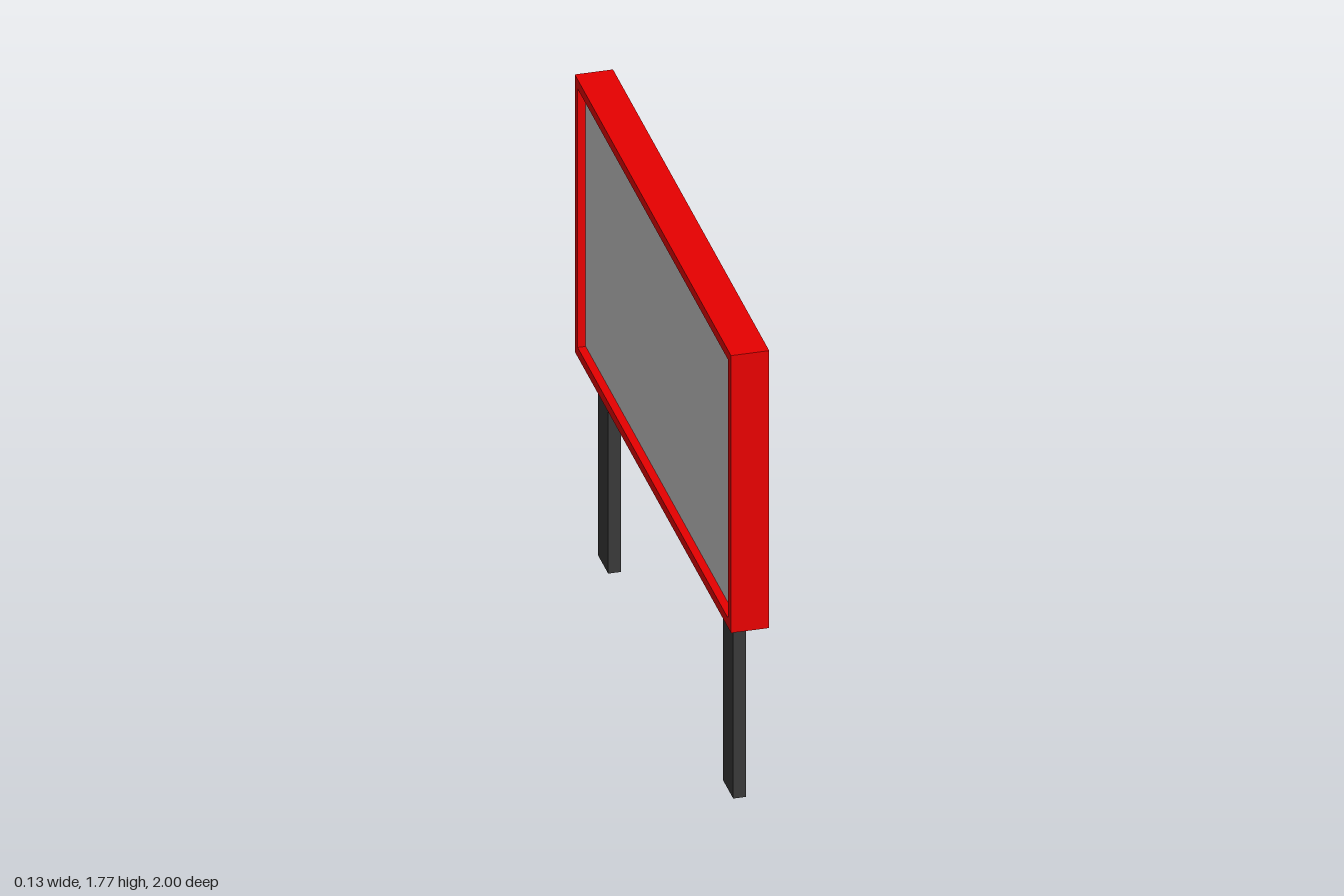
import * as THREE from 'three';

const WIDTH = 2, BOTTOM = 0.711, TOP = 1.77, DEPTH = 0.132, BORDER = 0.036, RECESS = 0.028;

const material = (name, color) => {
  const m = new THREE.MeshStandardMaterial({ color });
  m.name = name;
  return m;
};

// Rectangle outline, inset from the edges of the board
function rectangle(target, inset) {
  const w = WIDTH / 2 - inset, lo = BOTTOM + inset, hi = TOP - inset;
  target.moveTo(-w, lo);
  target.lineTo(w, lo);
  target.lineTo(w, hi);
  target.lineTo(-w, hi);
  target.closePath();
  return target;
}

export function createModel() {
  const model = new THREE.Group();
  model.name = 'billboard';
  const red = material('red frame', 0xe70000);
  const grey = material('grey panel', 0xc9c9c9);
  const dark = material('dark post', 0x393939);

  const add = (name, geometry, mat, x, y, z) => {
    const mesh = new THREE.Mesh(geometry, mat);
    mesh.name = name;
    mesh.position.set(x, y, z);
    model.add(mesh);
  };

  // Frame open on both faces, turned so the board faces along x
  const outline = rectangle(new THREE.Shape(), 0);
  outline.holes.push(rectangle(new THREE.Path(), BORDER));
  const frame = new THREE.ExtrudeGeometry(outline, { depth: DEPTH, bevelEnabled: false });
  frame.translate(0, 0, -DEPTH / 2).rotateY(Math.PI / 2);
  add('frame', frame, red, 0, 0, 0);

  // Display panel, recessed on both sides
  const panel = new THREE.BoxGeometry(
    DEPTH - 2 * RECESS, TOP - BOTTOM - 2 * BORDER, WIDTH - 2 * BORDER);
  add('displayPanel', panel, grey, 0, (TOP + BOTTOM) / 2, 0);

  // Two flat posts
  const post = new THREE.BoxGeometry(0.044, BOTTOM, 0.13);
  add('frontPost', post, dark, 0, BOTTOM / 2, 0.8);
  add('backPost', post, dark, 0, BOTTOM / 2, -0.8);

  return model;
}
